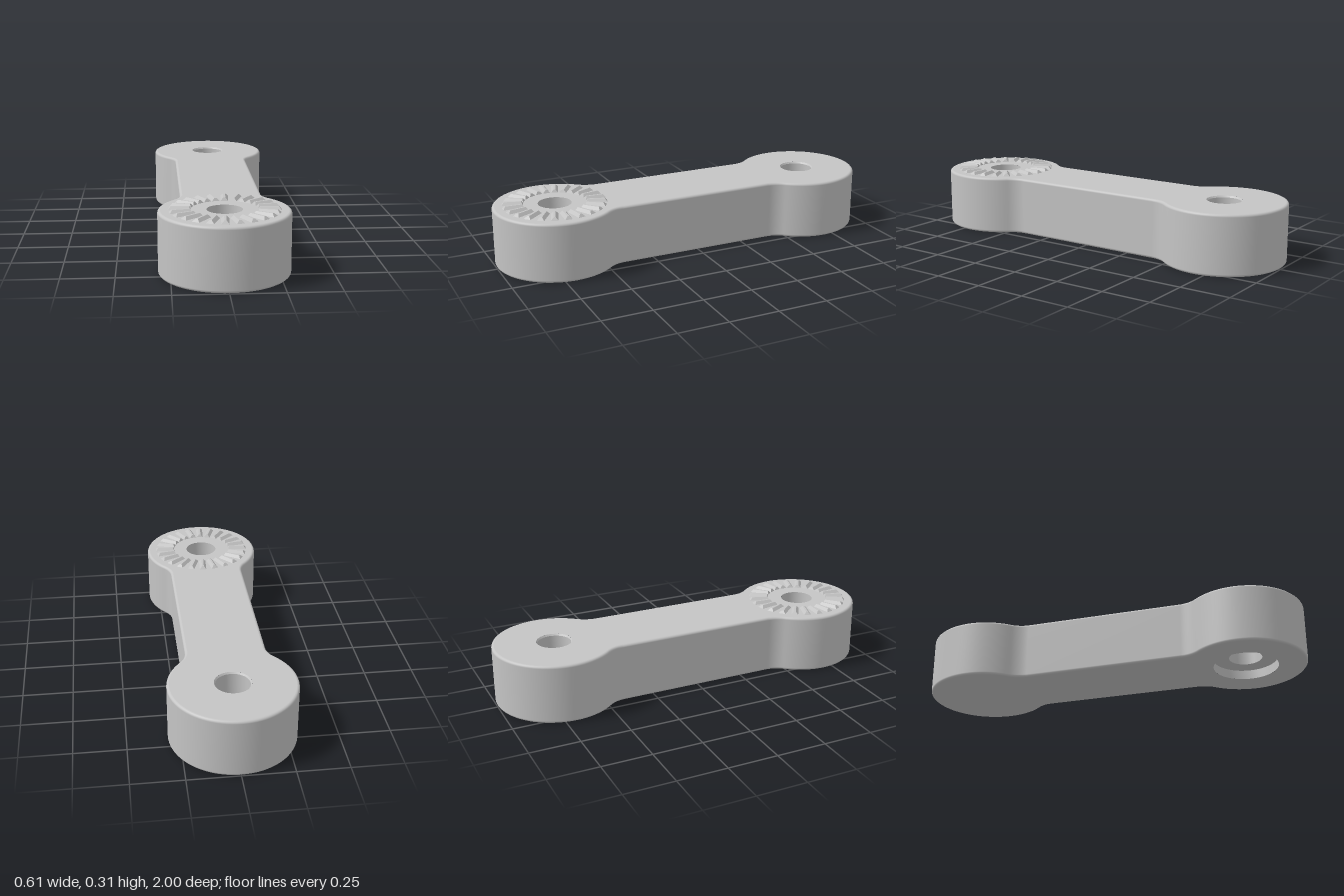
import * as THREE from 'three';
import { mergeGeometries, toCreasedNormals } from 'three/addons/utils/BufferGeometryUtils.js';

const H = 0.298;       // body height
const C = 0.694;       // distance of each round end from the middle
const R = 0.306;       // end radius
const NECK = 0.196;    // half width of the neck
const FILLET = 0.13;   // blend between end and neck
const BEVEL = 0.013;

// Outline of the arm, moved inwards by inset, as [x, z] points
function outline(inset) {
  const fx = NECK + FILLET;
  const d = Math.sqrt((R + FILLET) ** 2 - fx ** 2);
  const alpha = Math.atan2(fx, d);
  const r = R - inset, f = FILLET + inset;
  const quarter = [];
  for (let i = 0; i <= 32; i++) {
    const t = (Math.PI - alpha) * i / 32;
    quarter.push([r * Math.sin(t), C + r * Math.cos(t)]);
  }
  for (let i = 1; i <= 10; i++) {
    const s = (Math.PI / 2 - alpha) * (1 - i / 10);
    quarter.push([fx - f * Math.cos(s), C - d + f * Math.sin(s)]);
  }
  const side = [...quarter, ...quarter.map(([x, z]) => [x, -z]).reverse()];
  return [...side, ...side.slice(1, -1).map(([x, z]) => [-x, z]).reverse()];
}

// Side wall with rounded top and bottom edges
function wallGeometry() {
  const sections = [];
  for (let i = 0; i <= 5; i++) {
    const a = Math.PI / 2 * i / 5;
    sections.push([BEVEL * (1 - Math.sin(a)), BEVEL * (1 - Math.cos(a))]);
  }
  for (let i = 5; i >= 0; i--) sections.push([sections[i][0], H - sections[i][1]]);
  const pos = [], index = [];
  let n = 0;
  for (const [inset, y] of sections) {
    const loop = outline(inset);
    n = loop.length;
    for (const [x, z] of loop) pos.push(x, y, z);
  }
  for (let j = 0; j < sections.length - 1; j++) {
    for (let i = 0; i < n; i++) {
      const k = (i + 1) % n;
      const a = j * n + i, b = j * n + k;
      index.push(a, b, b + n, a, b + n, a + n);
    }
  }
  const g = new THREE.BufferGeometry();
  g.setAttribute('position', new THREE.Float32BufferAttribute(pos, 3));
  g.setIndex(index);
  g.computeVertexNormals();
  return g;
}

// Flat face at height y with round holes given as [z, radius]; dir is 1 facing up, -1 facing down
function faceGeometry(dir, y, holes) {
  const shape = new THREE.Shape(outline(BEVEL).map(([x, z]) => new THREE.Vector2(x, -dir * z)));
  for (const [z, r] of holes) {
    shape.holes.push(new THREE.Path().absarc(0, -dir * z, r, 0, Math.PI * 2, true));
  }
  return new THREE.ShapeGeometry(shape, 48).rotateX(-dir * Math.PI / 2).translate(0, y, 0);
}

function boreGeometry(profile) {
  const points = profile.map(([r, y]) => new THREE.Vector2(r, y));
  return toCreasedNormals(new THREE.LatheGeometry(points, 48), 0.5);
}

// One straight radial tooth with sloping flanks and ends, shaped from a box
function toothGeometry(angle) {
  const g = new THREE.BoxGeometry(1, 1, 1);
  const p = g.attributes.position;
  for (let i = 0; i < p.count; i++) {
    const top = p.getY(i) > 0;
    const outer = p.getZ(i) > 0;
    const r = outer ? (top ? 0.246 : 0.259) : (top ? 0.162 : 0.154);
    p.setXYZ(i, p.getX(i) * (top ? 0.01 : 0.038), top ? 0.312 : H - 0.001, r);
  }
  g.computeVertexNormals();
  return g.rotateY(angle);
}

export function createModel() {
  const group = new THREE.Group();
  const grey = new THREE.MeshStandardMaterial({ color: 0xc4c4c4 });
  grey.name = 'plain grey';
  const add = (name, geometry, z = 0) => {
    const mesh = new THREE.Mesh(geometry, grey);
    mesh.name = name;
    mesh.position.z = z;
    group.add(mesh);
  };

  // Arm body
  add('armWall', wallGeometry());
  add('armTop', faceGeometry(1, H, [[C, 0.083], [-C, 0.088]]));
  add('armBottom', faceGeometry(-1, 0, [[C, 0.162]]));

  // Through hole with a wider recess below, and a blind hole at the back
  add('throughHole', boreGeometry([[0.083, H], [0.083, 0.047], [0.162, 0.047], [0.162, 0]]), C);
  add('blindHole', boreGeometry([[0.088, H], [0.082, H - 0.008], [0.082, 0.1], [0, 0.1]]), -C);

  // Ring of locking teeth
  const count = 24;
  const teeth = [];
  for (let i = 0; i < count; i++) teeth.push(toothGeometry(i * Math.PI * 2 / count - 0.06));
  add('toothRing', mergeGeometries(teeth), C);

  return group;
}
